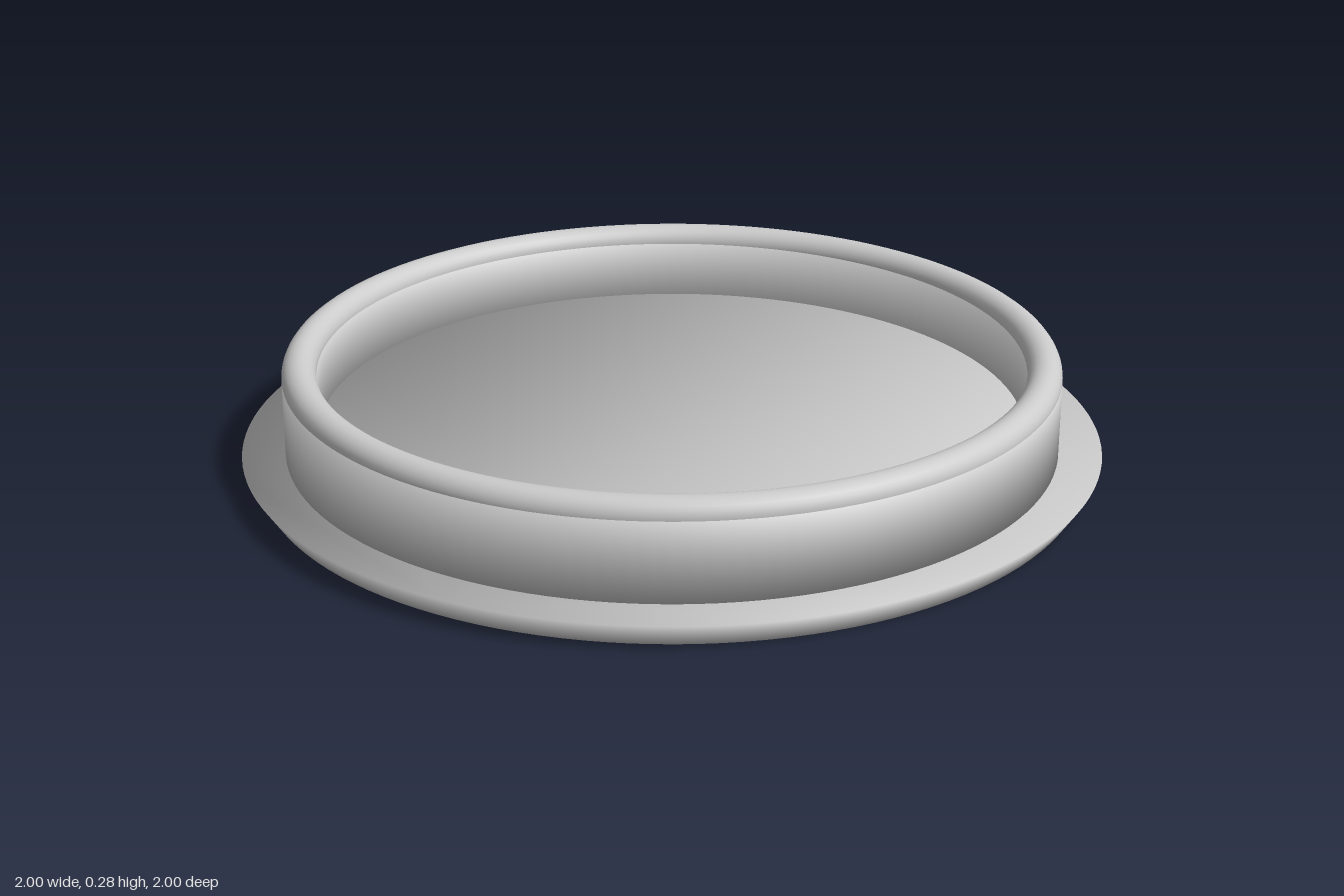
import * as THREE from 'three';

const SEGMENTS = 128;
const material = new THREE.MeshStandardMaterial({ color: 0xcccccc });

function part(name, geometry) {
  const mesh = new THREE.Mesh(geometry, material);
  mesh.name = name;
  return mesh;
}

// Solid disc with straight or flared side, shaded smoothly over both edges.
// The caps are fans between rim corners, so they have no centre corner.
function disc(bottomRadius, topRadius, bottomY, topY) {
  const positions = [], normals = [], index = [];
  const side = new THREE.Vector2(topY - bottomY, bottomRadius - topRadius).normalize();
  for (const [radius, y, up] of [[bottomRadius, bottomY, -1], [topRadius, topY, 1]]) {
    const n = new THREE.Vector2(side.x, side.y + up).normalize();
    for (let i = 0; i < SEGMENTS; i++) {
      const angle = i / SEGMENTS * Math.PI * 2;
      const s = Math.sin(angle), c = Math.cos(angle);
      positions.push(radius * s, y, radius * c);
      normals.push(n.x * s, n.y, n.x * c);
    }
  }
  for (let i = 0; i < SEGMENTS; i++) {
    const j = (i + 1) % SEGMENTS, top = SEGMENTS;
    index.push(i, j, top + j, i, top + j, top + i);
    if (i > 0 && j > 0) index.push(0, j, i, top, top + i, top + j);
  }
  const geometry = new THREE.BufferGeometry();
  geometry.setAttribute('position', new THREE.Float32BufferAttribute(positions, 3));
  geometry.setAttribute('normal', new THREE.Float32BufferAttribute(normals, 3));
  geometry.setIndex(index);
  return geometry;
}

// Square-section ring, shaded smoothly over its four edges.
function ring(inner, outer, bottomY, topY) {
  const corners = [[inner, bottomY], [outer, bottomY], [outer, topY], [inner, topY], [inner, bottomY]];
  const geometry = new THREE.LatheGeometry(corners.map(([r, y]) => new THREE.Vector2(r, y)), SEGMENTS);
  const normal = geometry.attributes.normal;
  for (let i = 0; i < normal.count; i++) {
    const [r, y] = corners[i % corners.length];
    const angle = Math.floor(i / corners.length) / SEGMENTS * Math.PI * 2;
    const out = (r === outer ? 1 : -1) * Math.SQRT1_2;
    const up = (y === topY ? 1 : -1) * Math.SQRT1_2;
    normal.setXYZ(i, out * Math.sin(angle), up, out * Math.cos(angle));
  }
  return geometry;
}

export function createModel() {
  const group = new THREE.Group();
  group.name = 'roundTray';

  // Flared base plate, raised floor and upright wall
  group.add(part('basePlate', disc(0.96, 1, 0, 0.06)));
  group.add(part('floor', disc(0.82, 0.82, 0.05, 0.106)));
  group.add(part('wall', ring(0.82, 0.9, 0.06, 0.245)));

  // Rounded lip along the top of the wall
  const rim = part('rim', new THREE.TorusGeometry(0.86, 0.04, 24, SEGMENTS));
  rim.rotation.x = -Math.PI / 2;
  rim.position.y = 0.245;
  group.add(rim);

  return group;
}
